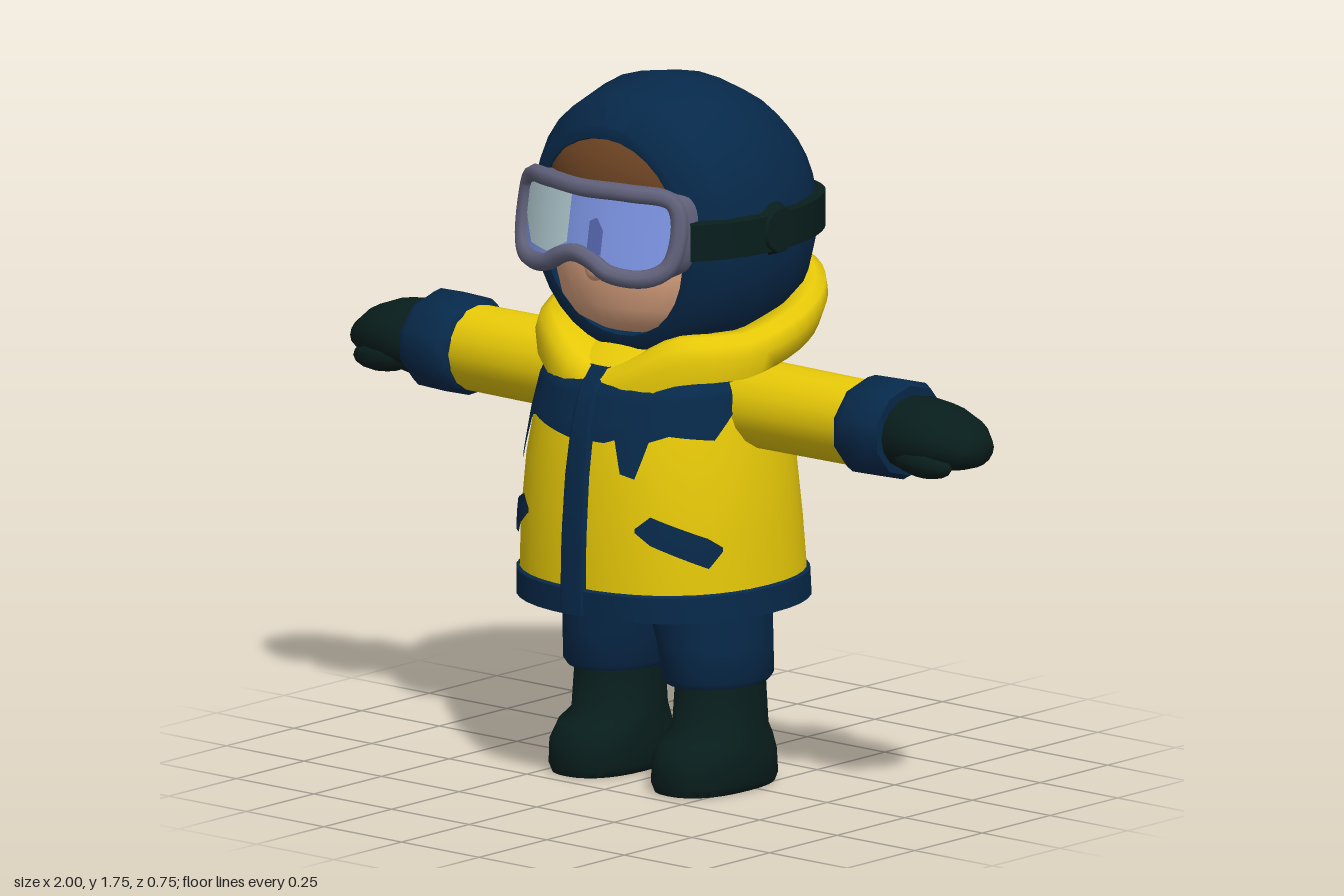
import * as THREE from 'three';
import { toCreasedNormals } from 'three/addons/utils/BufferGeometryUtils.js';

const mat = (name, color, side = THREE.FrontSide) =>
  Object.assign(new THREE.MeshStandardMaterial({ color, side }), { name });
const V = (x, y, z) => new THREE.Vector3(x, y, z);
const { lerp } = THREE.MathUtils;
const spow = (v, e) => Math.sign(v) * Math.abs(v) ** e;
const loop = (n, f) => Array.from({ length: n }, (_, j) => f((j / n) * Math.PI * 2));

// Skin a stack of point rows; closed joins the last point of a row to the first.
function loft(rows, closed = true) {
  const n = rows[0].length, m = closed ? n : n - 1, index = [];
  for (let i = 0; i < rows.length - 1; i++) {
    for (let j = 0; j < m; j++) {
      const a = i * n + j, b = i * n + ((j + 1) % n);
      index.push(a, b, a + n, b, b + n, a + n);
    }
  }
  const geo = new THREE.BufferGeometry().setFromPoints(rows.flat());
  geo.setIndex(index);
  geo.computeVertexNormals();
  return geo;
}

// Horizontal ring given its front and back z
const yRing = (y, cx, rx, zf, zb, e = 1, n = 28) => loop(n, (a) =>
  V(cx + rx * spow(Math.sin(a), e), y, (zf + zb) / 2 + ((zf - zb) / 2) * spow(Math.cos(a), e)));
// Ring around the x axis, for arms and hands
const xRing = (x, cy, ry, rz, n = 16) => loop(n, (a) => V(x, cy + ry * Math.cos(a), rz * Math.sin(a)));

function mirrored(geo) {
  const g = geo.clone().scale(-1, 1, 1);
  g.setIndex(Array.from(g.index.array).reverse());
  return g;
}

// Jacket levels: y, half width, front z, back z
const jacketLevels = [
  [0.458, 0.346, 0.365, -0.305], [0.52, 0.342, 0.365, -0.3], [0.65, 0.337, 0.362, -0.287],
  [0.8, 0.323, 0.35, -0.272], [0.92, 0.303, 0.33, -0.252], [1.01, 0.285, 0.305, -0.235],
  [1.07, 0.24, 0.25, -0.2], [1.12, 0.15, 0.16, -0.14],
];
function jacketAt(u, y, off = 0) {
  let i = 0;
  while (i < jacketLevels.length - 2 && y > jacketLevels[i + 1][0]) i++;
  const p = jacketLevels[i], q = jacketLevels[i + 1], t = (y - p[0]) / (q[0] - p[0]);
  const [rx, zf, zb] = [1, 2, 3].map((k) => lerp(p[k], q[k], t));
  return V((rx + off) * spow(Math.sin(u), 0.9), y,
    (zf + zb) / 2 + ((zf - zb) / 2 + off) * spow(Math.cos(u), 0.9));
}

// Thin patch on a surface, from columns [u, low y, high y]
function patch(cols, surface, rows = 8, sub = 6) {
  const fine = [];
  for (let c = 0; c < cols.length - 1; c++) {
    for (let s = 0; s < sub; s++) fine.push(cols[c].map((v, k) => lerp(v, cols[c + 1][k], s / sub)));
  }
  fine.push(cols[cols.length - 1]);
  return loft(Array.from({ length: rows + 1 }, (_, i) =>
    fine.map(([u, lo, hi]) => surface(u, lerp(lo, hi, i / rows)))), false);
}

// Curved, leaning goggle face
const visorAt = (off) => (x, y) => V(x, y, 0.352 + off - 1.45 * x * x - 0.17 * (y - 1.38));

export function createModel() {
  const root = new THREE.Group();
  root.name = 'skier';
  const D = THREE.DoubleSide;
  const yellow = mat('jacketYellow', 0xe8ca08, D), navy = mat('navyCloth', 0x07294a, D);
  const dark = mat('darkGreenRubber', 0x081e1c, D), skin = mat('skin', 0xdfa682);
  const hairMat = mat('brownHair', 0x6b4222), frameMat = mat('greyFrame', 0x60617a, D);
  const lensMat = mat('blueLens', 0x7d95e4, D), shineMat = mat('paleLensShine', 0xb6d0d6, D);
  const streakMat = mat('deepLensStreak', 0x5567b0, D);

  const add = (name, geo, material, crease = 0.85) => {
    const m = new THREE.Mesh(toCreasedNormals(geo, crease), material);
    m.name = name;
    root.add(m);
  };
  const pair = (name, geo, material, crease) => {
    add('left' + name, geo, material, crease);
    add('right' + name, mirrored(geo), material, crease);
  };

  // Jacket body with hem
  add('jacketBody', loft(jacketLevels.map(([y]) => loop(40, (u) => jacketAt(u, y)))), yellow);
  const hemRow = (y, off) => loop(40, (u) => jacketAt(u, y, off));
  add('jacketHem', loft([yRing(0.47, 0, 0, 0.03, 0.03, 1, 40), hemRow(0.456, 0), hemRow(0.456, 0.006),
    hemRow(0.52, 0.008), hemRow(0.525, 0)]), navy);

  // Navy front panels, zip with turned-in edges, and pockets
  const cloth = (u, y) => jacketAt(u, y, 0.007);
  const top = 1.06;
  add('leftYoke', patch([[0, 0.89, top], [0.2, 0.89, top], [0.29, 0.9, top], [0.35, 0.82, top],
    [0.47, 0.81, top], [0.58, 0.9, top], [0.75, 0.915, top], [1.15, 0.9, top], [1.35, 0.96, top]], cloth, 12), navy);
  add('rightYoke', patch([[-1.45, 0.97, top], [-1.3, 0.93, top], [-1.1, 0.87, top], [-1.0, 0.78, top],
    [-0.92, 0.82, top], [-0.82, 0.9, top], [-0.6, 0.915, top], [0, 0.885, top]], cloth, 12), navy);
  add('zipFlap', patch([[-0.09, 0.458, top], [0.09, 0.458, top]],
    (u, y) => jacketAt(u, y, Math.min(0.011, (0.09 - Math.abs(u)) * 0.6)), 14, 12), navy);
  pair('Pocket', patch([[0.48, 0.68, 0.69], [0.6, 0.65, 0.72], [1.05, 0.59, 0.665], [1.17, 0.63, 0.64]],
    (u, y) => jacketAt(u, y, 0.009), 4), navy);

  // Folded-down hood, tilted up at the back and notched at the front
  const hoodRow = (rx, zf, zb, yOf) => loop(48, (a) => {
    const x = rx * Math.sin(a), z = (zf + zb) / 2 + ((zf - zb) / 2) * Math.cos(a);
    const near = Math.min(a, 2 * Math.PI - a);
    const lapel = 0.03 * Math.max(0, 1 - Math.abs(near - 0.7) / 0.5);
    return V(x, yOf(1.175 - 0.284 * z + lapel) - 0.05 * Math.max(0, 1 - near / 0.5), z);
  });
  add('hoodCollar', loft([
    hoodRow(0.255, 0.27, -0.215, () => 1.01),
    hoodRow(0.312, 0.297, -0.29, (t) => lerp(1.02, t, 0.27)),
    hoodRow(0.354, 0.305, -0.355, (t) => t - 0.1),
    hoodRow(0.367, 0.305, -0.377, (t) => t - 0.05),
    hoodRow(0.358, 0.295, -0.374, (t) => t - 0.015),
    hoodRow(0.33, 0.27, -0.35, (t) => t),
    hoodRow(0.265, 0.2, -0.27, (t) => t - 0.012),
    hoodRow(0.19, 0.14, -0.19, () => 1.07),
  ]), yellow, 1.2);

  // Arms: sleeve, cuff, mitten and thumb
  pair('Sleeve', loft([xRing(0.15, 0.96, 0.1, 0.11), xRing(0.3, 0.963, 0.108, 0.115),
    xRing(0.64, 0.963, 0.106, 0.11)]), yellow);
  pair('Cuff', loft([xRing(0.62, 0.965, 0.1, 0.1, 10), xRing(0.63, 0.965, 0.115, 0.13, 10),
    xRing(0.655, 0.965, 0.125, 0.142, 10), xRing(0.745, 0.968, 0.125, 0.142, 10),
    xRing(0.768, 0.968, 0.112, 0.13, 10), xRing(0.765, 0.968, 0, 0, 10)]), navy);
  pair('Mitten', loft([xRing(0.75, 0.965, 0.088, 0.1), xRing(0.8, 0.965, 0.093, 0.118),
    xRing(0.87, 0.967, 0.083, 0.115), xRing(0.94, 0.96, 0.064, 0.096),
    xRing(0.985, 0.95, 0.04, 0.06), xRing(1, 0.945, 0, 0)]), dark, 1.2);
  pair('Thumb', new THREE.SphereGeometry(1, 12, 8).scale(0.095, 0.04, 0.045)
    .rotateZ(-0.1).translate(0.865, 0.92, 0.07), dark, 1.2);

  // Trousers and boots
  pair('TrouserLeg', loft([yRing(0.265, 0.158, 0, 0.015, 0.015), yRing(0.26, 0.158, 0.115, 0.155, -0.13),
    yRing(0.275, 0.158, 0.125, 0.165, -0.14), yRing(0.36, 0.152, 0.132, 0.17, -0.14),
    yRing(0.42, 0.142, 0.142, 0.175, -0.142), yRing(0.48, 0.135, 0.15, 0.18, -0.145)]), navy);
  pair('Boot', loft([yRing(0, 0.165, 0, 0.03, 0.03), yRing(0, 0.165, 0.108, 0.205, -0.142, 0.85),
    yRing(0.02, 0.165, 0.116, 0.212, -0.148, 0.85), yRing(0.08, 0.165, 0.116, 0.208, -0.142, 0.85),
    yRing(0.12, 0.164, 0.113, 0.18, -0.13, 0.9), yRing(0.145, 0.162, 0.11, 0.135, -0.12),
    yRing(0.27, 0.162, 0.107, 0.12, -0.108)]), dark, 1.2);

  // Face, nose and hair
  add('face', loft([yRing(1.125, 0, 0, 0.1, 0.1), yRing(1.14, 0, 0.12, 0.21, 0), yRing(1.165, 0, 0.17, 0.25, 0),
    yRing(1.21, 0, 0.205, 0.272, 0), yRing(1.3, 0, 0.228, 0.285, 0), yRing(1.5, 0, 0.228, 0.28, 0)]), skin, 1.2);
  add('nose', new THREE.SphereGeometry(1, 12, 8).scale(0.028, 0.038, 0.028).translate(0, 1.312, 0.283), skin, 1.2);
  add('hair', loft([yRing(1.48, 0, 0.225, 0.284, 0), yRing(1.53, 0, 0.235, 0.288, 0), yRing(1.58, 0, 0.225, 0.268, 0),
    yRing(1.63, 0, 0.19, 0.235, 0), yRing(1.66, 0, 0, 0.1, 0.1)]), hairMat, 1.2);

  // Padded cap with face opening: z, half width, top y, bottom y, lean of the opening
  const capLevels = [
    [0.17, 0.21, 1.6, 1.14, 0.1], [0.225, 0.228, 1.622, 1.125, 0.1], [0.222, 0.257, 1.652, 1.09, 0.1],
    [0.15, 0.308, 1.715, 1.05, 0.06], [0.03, 0.335, 1.75, 1.03, 0], [-0.1, 0.322, 1.73, 1.04, 0],
    [-0.2, 0.286, 1.68, 1.08, 0], [-0.28, 0.226, 1.62, 1.14, 0], [-0.322, 0.15, 1.54, 1.24, 0], [-0.335, 0, 1.39, 1.39, 0],
  ];
  add('paddedCap', loft(capLevels.map(([z, rx, yt, yb, lean]) => loop(32, (a) => {
    const y = (yt + yb) / 2 + ((yt - yb) / 2) * spow(Math.cos(a), 0.95);
    return V(rx * spow(Math.sin(a), 0.95), y, z + lean * (y - 1.38));
  }))), navy, 0.9);

  // Goggle strap with side buckles
  const half = [[0.262, 0.235], [0.311, 0.15], [0.336, 0.03], [0.324, -0.1], [0.289, -0.2], [0.232, -0.28], [0.154, -0.322]];
  const strapPath = new THREE.CatmullRomCurve3([
    ...half.map(([x, z]) => V(x, 0, z)), V(0, 0, -0.336), ...half.slice().reverse().map(([x, z]) => V(-x, 0, z)),
  ]).getPoints(60);
  const strapRow = (s, y) => strapPath.map((p) => V(p.x * s, y, p.z * s));
  add('goggleStrap', loft([strapRow(0.97, 1.35), strapRow(1.035, 1.355), strapRow(1.035, 1.445), strapRow(0.97, 1.45)], false), dark);
  pair('Buckle', new THREE.CylinderGeometry(0.055, 0.068, 0.03, 10).rotateZ(-Math.PI / 2).translate(0.34, 1.405, 0), dark);

  // Goggle frame: rounded rim and side wall back to the face
  const rim = [[0, 1.515], [0.13, 1.515], [0.225, 1.5], [0.245, 1.45], [0.235, 1.345], [0.19, 1.313],
    [0.1, 1.318], [0.05, 1.345], [0, 1.358]];
  const outline = [...rim, ...rim.slice(1, -1).reverse().map(([x, y]) => [-x, y])];
  const rimCurve = new THREE.CatmullRomCurve3(outline.map(([x, y]) => visorAt(0)(x, y)), true);
  add('goggleRim', new THREE.TubeGeometry(rimCurve, 80, 0.023, 8, true), frameMat, 1.2);
  const rimPts = rimCurve.getPoints(80);
  const wall = (s, dz) => rimPts.map((p) => V(p.x * s, 1.42 + (p.y - 1.42) * s, p.z + dz));
  add('goggleWall', loft([wall(1.06, -0.075), wall(1.08, -0.04), wall(1.06, 0)], false), frameMat, 1.2);

  // Lens with pale shine and deeper streak
  add('lens', patch([[-0.24, 1.36, 1.47], [-0.22, 1.325, 1.5], [-0.18, 1.31, 1.515], [-0.1, 1.315, 1.515],
    [0, 1.36, 1.515], [0.1, 1.315, 1.515], [0.18, 1.31, 1.515], [0.22, 1.325, 1.5], [0.24, 1.36, 1.47]], visorAt(0)), lensMat);
  add('lensShine', patch([[-0.225, 1.41, 1.49], [-0.18, 1.35, 1.5], [-0.1, 1.345, 1.5], [-0.03, 1.38, 1.5]], visorAt(0.004)), shineMat);
  add('lensStreak', patch([[0.035, 1.37, 1.44], [0.055, 1.36, 1.45], [0.075, 1.36, 1.42]], visorAt(0.004)), streakMat);

  return root;
}
